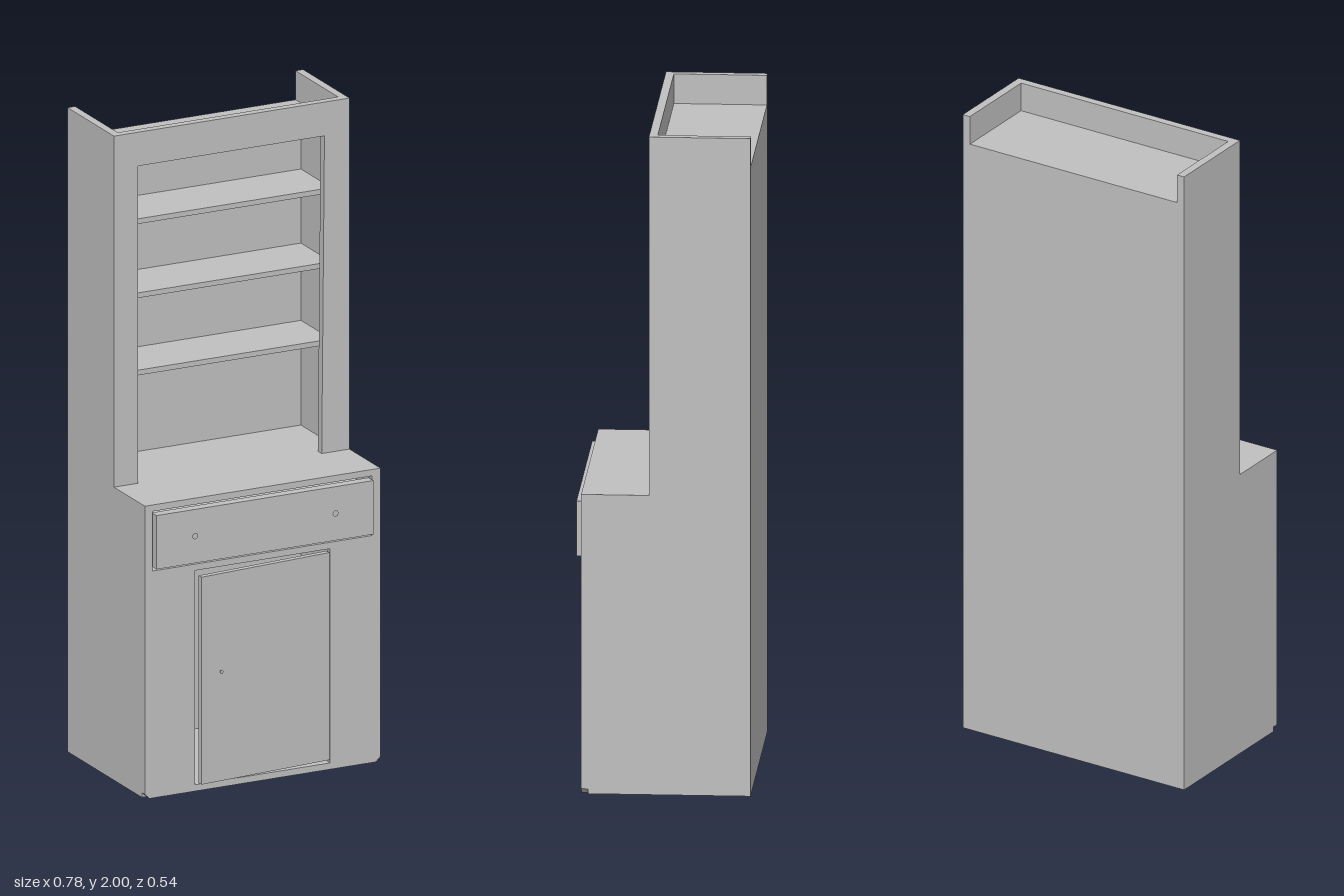
import * as THREE from 'three';

export function createModel() {
  const model = new THREE.Group();
  model.name = 'dresserCupboard';
  const paint = new THREE.MeshStandardMaterial({ color: 0xc0c0c0 });
  paint.name = 'plainGrey';

  const add = (name, geometry, parent = model) => {
    const mesh = new THREE.Mesh(geometry, paint);
    mesh.name = name;
    parent.add(mesh);
    return mesh;
  };
  // Box given by its extents on each axis
  const board = (name, [x0, x1], [y0, y1], [z0, z1], parent) => {
    const g = new THREE.BoxGeometry(x1 - x0, y1 - y0, z1 - z0);
    g.translate((x0 + x1) / 2, (y0 + y1) / 2, (z0 + z1) / 2);
    return add(name, g, parent);
  };
  const shapeOf = (pts) => new THREE.Shape(pts.map(([x, y]) => new THREE.Vector2(x, y)));
  const rectHole = (x0, x1, y0, y1) =>
    new THREE.Path([[x0, y0], [x0, y1], [x1, y1], [x1, y0]].map(([x, y]) => new THREE.Vector2(x, y)));
  const extrude = (shape, depth) => new THREE.ExtrudeGeometry(shape, { depth, bevelEnabled: false });

  const W = 0.39, INNER = 0.365, BACK = -0.27, COUNTER = 0.91;

  // Stepped side panels: deep base, shallow upper part
  const sideShape = shapeOf([[BACK, 0], [0.21, 0], [0.21, COUNTER], [0.005, COUNTER], [0.005, 2], [BACK, 2]]);
  for (const [name, x] of [['leftSide', W], ['rightSide', -INNER]]) {
    const side = extrude(sideShape, W - INNER);
    side.rotateY(-Math.PI / 2);
    add(name, side).position.x = x;
  }

  // Back, top, counter and floor boards
  board('backPanel', [-INNER, INNER], [0, 1.91], [BACK, -0.235]);
  board('topBoard', [-INNER, INNER], [1.895, 1.91], [-0.235, 0.005]);
  board('counter', [-INNER, INNER], [0.89, COUNTER], [-0.235, 0.21]);
  board('floorBoard', [-INNER, INNER], [0, 0.02], [-0.235, 0.21]);
  board('drawerDivider', [-INNER, INNER], [0.69, 0.705], [-0.235, 0.21]);

  // Frame around the open shelves
  const frame = extrude(shapeOf([
    [-W, COUNTER], [-0.31, COUNTER], [-0.31, 1.895], [0.307, 1.895],
    [0.298, COUNTER], [W, COUNTER], [W, 2], [-W, 2],
  ]), 0.025);
  add('shelfFrame', frame).position.z = 0.005;

  // Shelves
  for (const y of [1.235, 1.475, 1.705])
    board('shelf', [-INNER, INNER], [y - 0.016, y], [-0.235, -0.04]);

  // Base front with drawer and door openings, clipped lower corners
  const c = 0.015;
  const front = shapeOf([[-W, c], [-W + c, 0], [W - c, 0], [W, c], [W, COUNTER], [-W, COUNTER]]);
  front.holes.push(rectHole(-0.365, 0.362, 0.705, 0.89), rectHole(-0.225, 0.223, 0.02, 0.685));
  add('baseFront', extrude(front, 0.02)).position.z = 0.21;

  const knob = (name, x, y, z, r, parent) => {
    const g = new THREE.CylinderGeometry(r, r * 0.6, 0.006, 8);
    g.rotateX(Math.PI / 2);
    add(name, g, parent).position.set(x, y, z);
  };

  // Drawer, slightly pulled out
  const drawer = new THREE.Group();
  drawer.name = 'drawer';
  model.add(drawer);
  board('drawerFront', [-0.36, 0.358], [0.714, 0.881], [0.215, 0.246], drawer);
  board('drawerBody', [-0.35, 0.35], [0.714, 0.86], [-0.2, 0.215], drawer);
  for (const x of [-0.235, 0.23]) knob('drawerKnob', x, 0.80, 0.249, 0.01, drawer);

  // Door, ajar on its left-hand hinge
  const door = new THREE.Group();
  door.name = 'door';
  door.position.set(0.22, 0, 0.231);
  door.rotation.y = 0.076;
  model.add(door);
  board('doorPanel', [-0.441, 0], [0.03, 0.674], [-0.018, 0], door);
  knob('doorKnob', -0.375, 0.37, 0.003, 0.006, door);

  return model;
}
